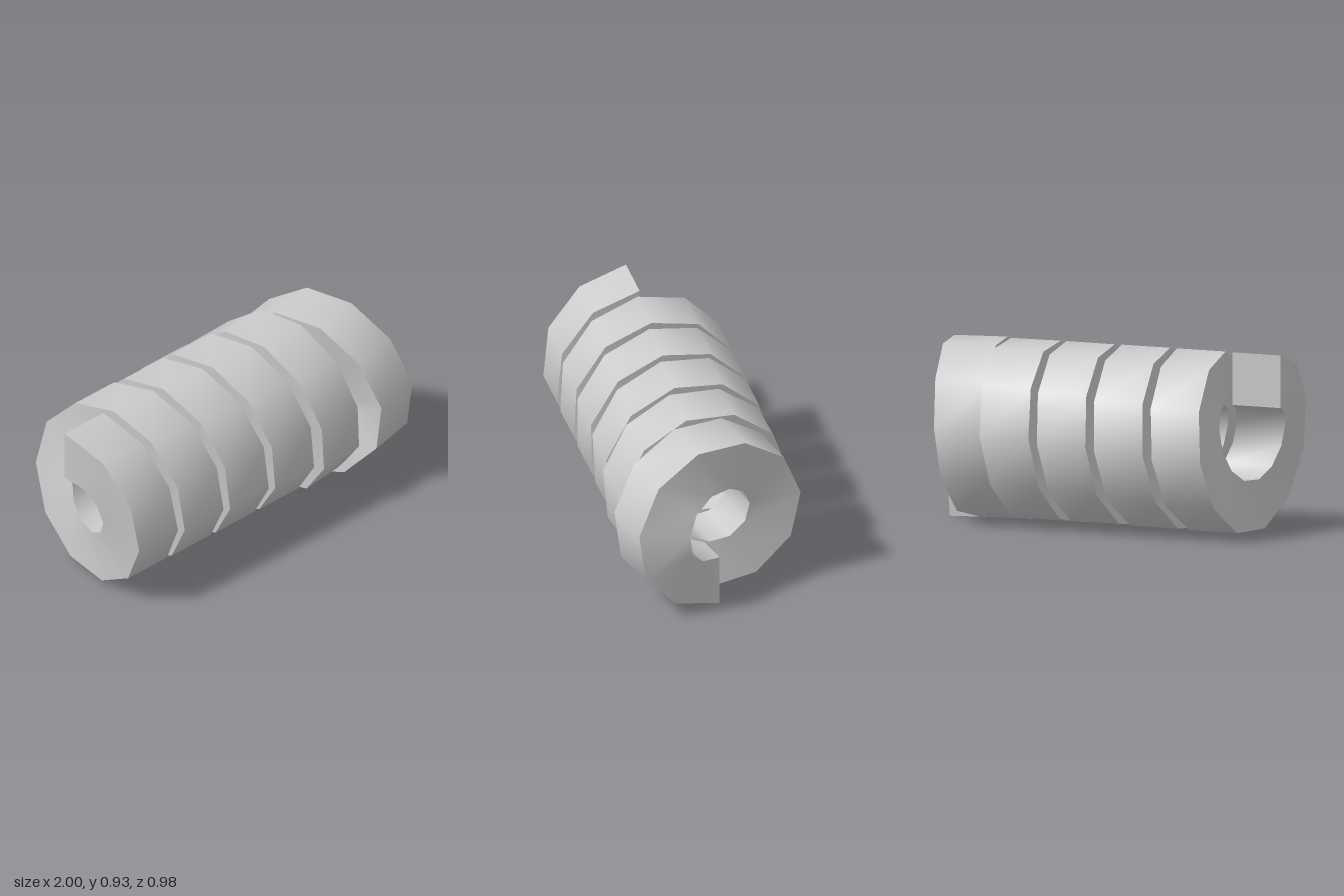
import * as THREE from 'three';
import { mergeGeometries } from 'three/addons/utils/BufferGeometryUtils.js';

const SEGMENTS = 60, TURNS = 5.5, PITCH = 0.32;
const OUTER = 0.463, INNER = 0.193, WIDTH = 0.272;

// Left-edge x of the last stations, where the final coil tilts and closes on itself
const END_X = [0.405, 0.43, 0.44, 0.445, 0.46, 0.5, 0.56, 0.62, 0.68, 0.727, 0.725, 0.66, 0.59];

// Four corners of the rectangular wire section at station i
function section(i) {
  const turn = (i / SEGMENTS) * TURNS;
  const angle = turn * Math.PI * 2;
  const tail = i - (SEGMENTS + 1 - END_X.length);
  const x = tail >= 0 ? END_X[tail] : -1 + PITCH * turn;
  const lean = 0.06 * THREE.MathUtils.smoothstep(turn, 3.4, 5.3);
  const cy = 0.472 - 0.008 * (i / SEGMENTS);
  const corner = (r, right) => [
    x + (right ? WIDTH : 0),
    cy + r * Math.cos(angle),
    -0.03 + r * Math.sin(angle) + (right ? 0 : lean),
  ];
  return [corner(OUTER, false), corner(OUTER, true), corner(INNER, true), corner(INNER, false)];
}

function surface(points, index) {
  const g = new THREE.BufferGeometry();
  g.setAttribute('position', new THREE.Float32BufferAttribute(points.flat(), 3));
  g.setIndex(index);
  g.computeVertexNormals();
  return g;
}

export function createModel() {
  const group = new THREE.Group();
  group.name = 'coilSpring';
  const material = new THREE.MeshStandardMaterial({ color: 0xcccccc });
  const sections = Array.from({ length: SEGMENTS + 1 }, (_, i) => section(i));

  // One smooth ribbon for each side of the wire, sharp where they meet
  const sides = [0, 1, 2, 3].map((k) => {
    const points = [], index = [];
    sections.forEach((s, i) => {
      points.push(s[k], s[(k + 1) % 4]);
      const a = i * 2;
      if (i < SEGMENTS) index.push(a, a + 2, a + 1, a + 1, a + 2, a + 3);
    });
    return surface(points, index);
  });
  const wire = new THREE.Mesh(mergeGeometries(sides), material);
  wire.name = 'coiledWire';
  group.add(wire);

  // Flat cut ends of the wire
  const caps = [
    ['startCap', sections[0], [0, 1, 2, 0, 2, 3]],
    ['endCap', sections[SEGMENTS], [0, 2, 1, 0, 3, 2]],
  ];
  for (const [name, points, index] of caps) {
    const cap = new THREE.Mesh(surface(points, index), material);
    cap.name = name;
    group.add(cap);
  }
  return group;
}
